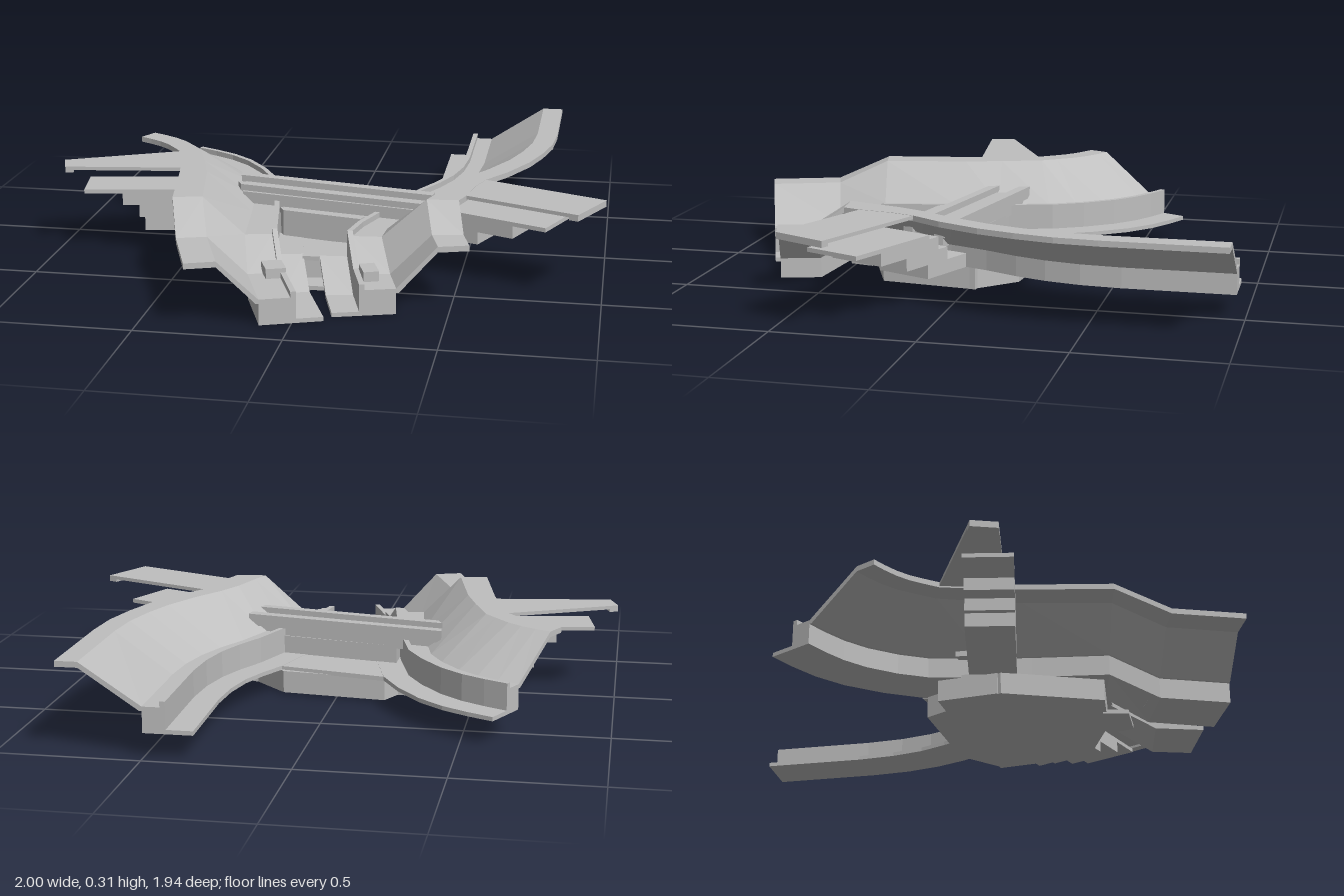
import * as THREE from 'three';

export function createModel() {
  const model = new THREE.Group();
  const concrete = new THREE.MeshStandardMaterial({ color: 0xbfbfbf, side: THREE.DoubleSide });
  concrete.name = 'concrete grey';

  const add = (name, geometry, parent = model) => {
    const mesh = new THREE.Mesh(geometry, concrete);
    mesh.name = name;
    parent.add(mesh);
    return mesh;
  };

  // Flat slab: plan outline in [x, z], between two heights
  const slab = (name, outline, y0, y1) => {
    const shape = new THREE.Shape(outline.map(([x, z]) => new THREE.Vector2(x, -z)));
    const g = new THREE.ExtrudeGeometry(shape, { depth: y1 - y0, bevelEnabled: false });
    g.rotateX(-Math.PI / 2);
    g.translate(0, y0, 0);
    return add(name, g);
  };

  // Slab along a direction: u runs along the axis, v across it
  const axisSlab = (name, angle, u0, u1, v0, v1, y0, y1) => {
    const c = Math.cos(angle), s = Math.sin(angle);
    const p = (u, v) => [u * c - v * s, u * s + v * c];
    return slab(name, [p(u0, v0), p(u1, v0), p(u1, v1), p(u0, v1)], y0, y1);
  };

  // Bank section from inner ledge over the curb and slope to the outer rim
  const section = (a, b) => [
    [0, 0.105], [0.2, 0.105], [0.2, 0.2], [0.24, 0.2], [0.24, 0.18], [a, 0.18],
    [b, 0.32], [1, 0.32], [1, 0.3], [b, 0.3], [a + 0.02, 0.165], [a, 0.165], [a, 0.09], [0, 0.09],
  ];

  // Loft the section; station = [innerX, innerZ, outerX, outerZ, drop, slopeStart, slopeEnd]
  const bank = (name, stations, flip) => {
    const rings = stations.map(([ix, iz, ox, oz, drop, a, b]) =>
      section(a, b).map(([t, y]) => [ix + (ox - ix) * t, y - drop, iz + (oz - iz) * t]));
    const pos = [];
    const tri = (p, q, r) => pos.push(...p, ...(flip ? [...r, ...q] : [...q, ...r]));
    const n = rings[0].length;
    for (let s = 0; s < rings.length - 1; s++) {
      for (let i = 0; i < n; i++) {
        const j = (i + 1) % n;
        const A = rings[s][i], B = rings[s][j], C = rings[s + 1][j], D = rings[s + 1][i];
        tri(A, D, C);
        tri(A, C, B);
      }
    }
    // End caps
    for (const k of [0, rings.length - 1]) {
      const [, , , , , a, b] = stations[k];
      const flat = section(a, b).map(([t, y]) => new THREE.Vector2(t, y));
      for (const [p, q, r] of THREE.ShapeUtils.triangulateShape(flat, [])) {
        if (k === 0) tri(rings[k][p], rings[k][r], rings[k][q]);
        else tri(rings[k][p], rings[k][q], rings[k][r]);
      }
    }
    const g = new THREE.BufferGeometry();
    g.setAttribute('position', new THREE.Float32BufferAttribute(pos, 3));
    g.computeVertexNormals();
    return add(name, g);
  };

  // Long bank on the +x side, dropping a level at the front
  bank('leftBank', [
    [0.33, -0.97, 0.79, -0.97, 0, 0.37, 0.83],
    [0.335, -0.6, 0.79, -0.55, 0, 0.37, 0.83],
    [0.325, -0.46, 0.78, -0.4, 0, 0.37, 0.83],
    [0.3, -0.34, 0.75, -0.26, 0, 0.37, 0.83],
    [0.26, -0.24, 0.71, -0.13, 0, 0.37, 0.83],
    [0.21, -0.14, 0.64, 0.02, 0, 0.37, 0.83],
    [0.16, 0.02, 0.57, 0.13, 0, 0.38, 0.82],
    [0.1, 0.16, 0.54, 0.22, 0, 0.4, 0.8],
    [0.04, 0.32, 0.52, 0.34, 0, 0.42, 0.78],
    [0.02, 0.44, 0.5, 0.4, 0, 0.45, 0.77],
    [0.07, 0.6, 0.53, 0.52, 0.085, 0.47, 0.77],
    [0.12, 0.77, 0.56, 0.63, 0.085, 0.47, 0.77],
  ], false);

  // Curved bank on the -x side
  bank('rightBank', [
    [-0.61, -0.65, -0.81, -0.24, 0, 0.37, 0.83],
    [-0.52, -0.605, -0.765, -0.215, 0, 0.37, 0.83],
    [-0.43, -0.55, -0.72, -0.185, 0, 0.37, 0.83],
    [-0.34, -0.47, -0.68, -0.15, 0, 0.37, 0.83],
    [-0.25, -0.35, -0.64, -0.1, 0, 0.37, 0.83],
    [-0.18, -0.22, -0.61, -0.06, 0, 0.38, 0.82],
    [-0.12, 0, -0.57, 0.08, 0, 0.4, 0.8],
    [-0.08, 0.2, -0.54, 0.2, 0, 0.42, 0.78],
    [-0.04, 0.43, -0.48, 0.53, 0, 0.45, 0.77],
    [0.01, 0.58, -0.42, 0.72, 0.085, 0.47, 0.77],
    [0.1, 0.81, -0.33, 0.97, 0.085, 0.47, 0.77],
  ], true);

  // Central foundation, rear plateau and pool floors
  slab('foundation', [[-0.18, -0.2], [0.2, -0.16], [0.34, -0.02], [0.3, 0.32],
    [0.03, 0.43], [-0.2, 0.45], [-0.33, 0.1]], 0.01, 0.091);
  slab('rearPlateau', [[-0.18, -0.22], [0.21, -0.14], [0.18, 0.06], [-0.13, 0.02]], 0.088, 0.104);
  slab('upperPoolFloor', [[-0.13, 0], [0.18, 0], [0.04, 0.32], [0.02, 0.45], [-0.04, 0.45], [-0.08, 0.2]], 0.088, 0.104);
  slab('lowerPoolFloor', [[-0.1, 0.43], [0.08, 0.43], [0.06, 0.52], [-0.01, 0.52], [-0.08, 0.52]], 0.005, 0.02);

  // Pool back ledge
  slab('poolLedge', [[-0.17, 0.1], [0.17, 0.16], [0.15, 0.27], [-0.17, 0.21]], 0.1, 0.18);
  slab('poolLedgeCurb', [[-0.17, 0.2], [0.15, 0.265], [0.14, 0.295], [-0.15, 0.235]], 0.1, 0.2);

  // Crossing between the banks with two raised beams
  slab('crossingDeck', [[-0.35, -0.06], [0.36, 0.08], [0.34, 0.23], [-0.33, 0.1]], 0.16, 0.222);
  slab('crossingCore', [[-0.2, -0.03], [0.24, 0.05], [0.24, 0.2], [-0.2, 0.12]], 0.09, 0.17);
  slab('rearBeam', [[-0.37, -0.075], [0.38, 0.07], [0.375, 0.11], [-0.365, -0.035]], 0.2, 0.245);
  slab('frontBeam', [[-0.36, 0.045], [0.37, 0.19], [0.36, 0.225], [-0.34, 0.085]], 0.2, 0.245);

  // Outer approach decks with lips at their ends
  slab('leftApproach', [[0.57, 0.13], [1, 0.31], [0.91, 0.5], [0.5, 0.33]], 0.306, 0.319);
  slab('leftApproachLip', [[0.97, 0.298], [1, 0.31], [0.91, 0.5], [0.88, 0.488]], 0.296, 0.31);
  slab('rightApproach', [[-0.61, -0.06], [-1, 0.13], [-0.97, 0.22], [-0.54, 0.16]], 0.306, 0.319);
  slab('rightApproachLip', [[-0.97, 0.115], [-1, 0.13], [-0.97, 0.22], [-0.94, 0.216]], 0.296, 0.31);

  // Stepped supports under each approach: [y0, y1, u0, left end, right end]
  const steps = [
    [0.23, 0.245, 0.52, 0.905, 0.92],
    [0.185, 0.23, 0.47, 0.78, 0.78],
    [0.14, 0.185, 0.42, 0.645, 0.72],
    [0.09, 0.14, 0.3, 0.53, 0.7],
  ];
  steps.forEach(([y0, y1, u0, l, r], i) => {
    axisSlab('leftSupport' + (i + 1), 0.4, u0, l, -0.13, 0.085, y0, y1);
    axisSlab('rightSupport' + (i + 1), Math.PI - 0.17, u0 + 0.03, r, -0.1, 0.07, y0, y1);
  });

  // Low end blocks of the foundation
  axisSlab('leftFootBlock', 0.2, 0.18, 0.33, -0.1, 0.12, 0.01, 0.1);
  axisSlab('rightFootBlock', Math.PI + 0.1, 0.18, 0.32, -0.12, 0.1, 0.01, 0.1);

  // Small steps beside the slot
  slab('rightPoolStep', [[-0.155, 0.6], [-0.09, 0.575], [-0.055, 0.66], [-0.12, 0.685]], 0.02, 0.13);
  slab('leftPoolStep', [[0.18, 0.575], [0.23, 0.555], [0.26, 0.64], [0.21, 0.66]], 0.02, 0.13);

  return model;
}
